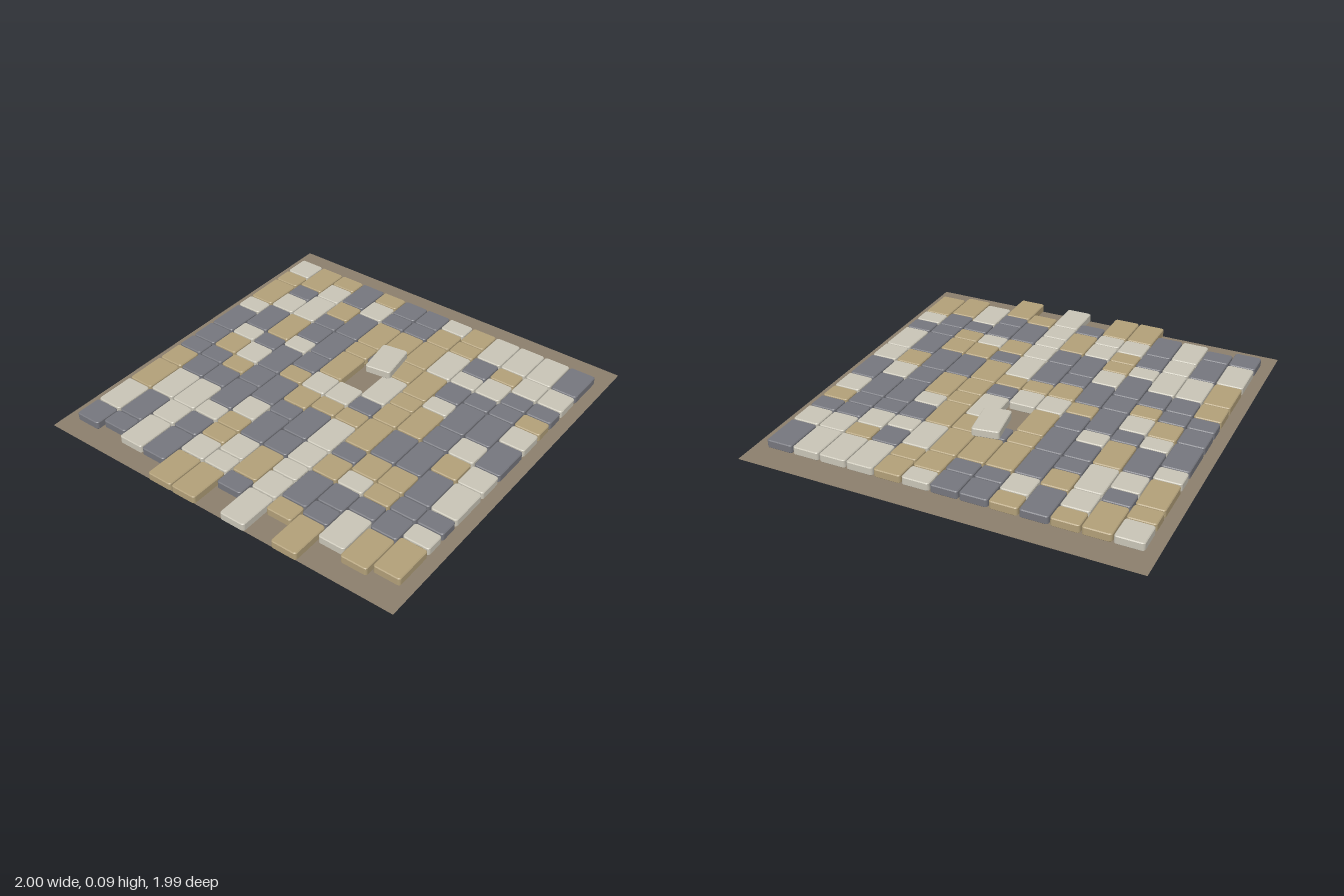
import * as THREE from 'three';

const UNIT = 0.0359;      // paving module: stones are 3, 4 or 6 units long
const RIGHT = 0.865;      // every course ends here
const PITCH = 0.1438;     // spacing of the courses
const DEPTH = 0.138;
const JOINT = 0.006;
const HEIGHT = 0.042;
const BASE = 0.002;

// Courses from back to front: D dark, L light, T tan, _ empty slot, then length.
const COURSES = [
  'D4 L6 T6 T4 D3 D4 D6 L3 T6 T3 L4',
  'D3 D6 L6 D4 D3 T4 L3 D6 L4 D3 T6',
  'L6 L4 L6 D4 T3 L4 D3 T6 L6 L4 T3',
  'D6 D4 L3 D6 D4 D6 L3 D4 D3 T4 D6',
  'T6 L4 T3 T3 L4 D6 T3 D4 D6 D6 L4 T3',
  'T6 L3 L4 D6 D3 T4 L4 T6 T3 T6 D3 D4',
  'D3 T6 D4 D6 T3 L4 _6 D3 T6 D3 D4',
  'L6 L4 L3 L4 L6 T3 D3 L6 T4 T6 T4 L3',
  'T3 D6 T4 D3 T6 T4 T3 T6 L6 T3 T4',
  'T6 D3 D4 L3 T4 D6 T6 L3 D4 L3 D4 L6',
  'L6 D3 T3 T4 D6 D4 D6 D3 L4 T3 L6',
  'T6 D4 D3 D6 T4 L4 D6 D3 D3 L4 L6',
  'T6 L3 D3 L6 L4 D6 L4 T3 D3 L4 D6',
];

// Block with rounded corners and a fine chamfer, standing on y = 0
function stoneGeometry(width) {
  const b = 0.004, r = 0.014;
  const x = width / 2, y = DEPTH / 2;
  const s = new THREE.Shape();
  s.moveTo(-x + r, -y);
  s.lineTo(x - r, -y);
  s.absarc(x - r, -y + r, r, -Math.PI / 2, 0);
  s.absarc(x - r, y - r, r, 0, Math.PI / 2);
  s.absarc(-x + r, y - r, r, Math.PI / 2, Math.PI);
  s.absarc(-x + r, -y + r, r, Math.PI, Math.PI * 1.5);
  const g = new THREE.ExtrudeGeometry(s, {
    depth: HEIGHT - 2 * b, bevelEnabled: true, bevelThickness: b,
    bevelSize: b, bevelOffset: -b, bevelSegments: 1, curveSegments: 4,
  });
  g.translate(0, 0, b);
  g.rotateX(-Math.PI / 2);
  return g;
}

export function createModel() {
  const model = new THREE.Group();
  model.name = 'pavedGround';

  const material = (name, color) => {
    const m = new THREE.MeshStandardMaterial({ color });
    m.name = name;
    return m;
  };
  const stoneColours = {
    D: material('slateGrey', 0x75767d),
    L: material('paleStone', 0xc8c4b6),
    T: material('tanStone', 0xb19f78),
  };
  const earth = material('earth', 0x8b7e6c);
  earth.side = THREE.DoubleSide;

  // Flat bed of earth
  const bed = new THREE.Mesh(new THREE.PlaneGeometry(1.99, 1.99).rotateX(-Math.PI / 2), earth);
  bed.name = 'earthBed';
  bed.position.x = 0.003;
  model.add(bed);

  const geometries = {};
  for (const n of [3, 4, 6]) geometries[n] = stoneGeometry(n * UNIT - JOINT);

  // Courses of stones, aligned at the right-hand end
  COURSES.forEach((text, i) => {
    const course = new THREE.Group();
    course.name = `course${i + 1}`;
    course.position.set(0, BASE, (i - (COURSES.length - 1) / 2) * PITCH);
    const stones = text.split(' ').map((t) => [t[0], Number(t[1])]);
    let x = RIGHT - UNIT * stones.reduce((sum, s) => sum + s[1], 0);
    for (const [colour, n] of stones) {
      if (colour !== '_') {
        const stone = new THREE.Mesh(geometries[n], stoneColours[colour]);
        stone.name = 'pavingStone';
        stone.position.x = x + n * UNIT / 2;
        course.add(stone);
      }
      x += n * UNIT;
    }
    model.add(course);
  });

  // Lifted stone lying askew beside its empty slot
  const loose = new THREE.Mesh(geometries[6], stoneColours.L);
  loose.name = 'looseStone';
  loose.position.set(0.317, BASE + HEIGHT + 0.001, 0.036);
  loose.rotation.y = 0.15;
  model.add(loose);

  return model;
}
